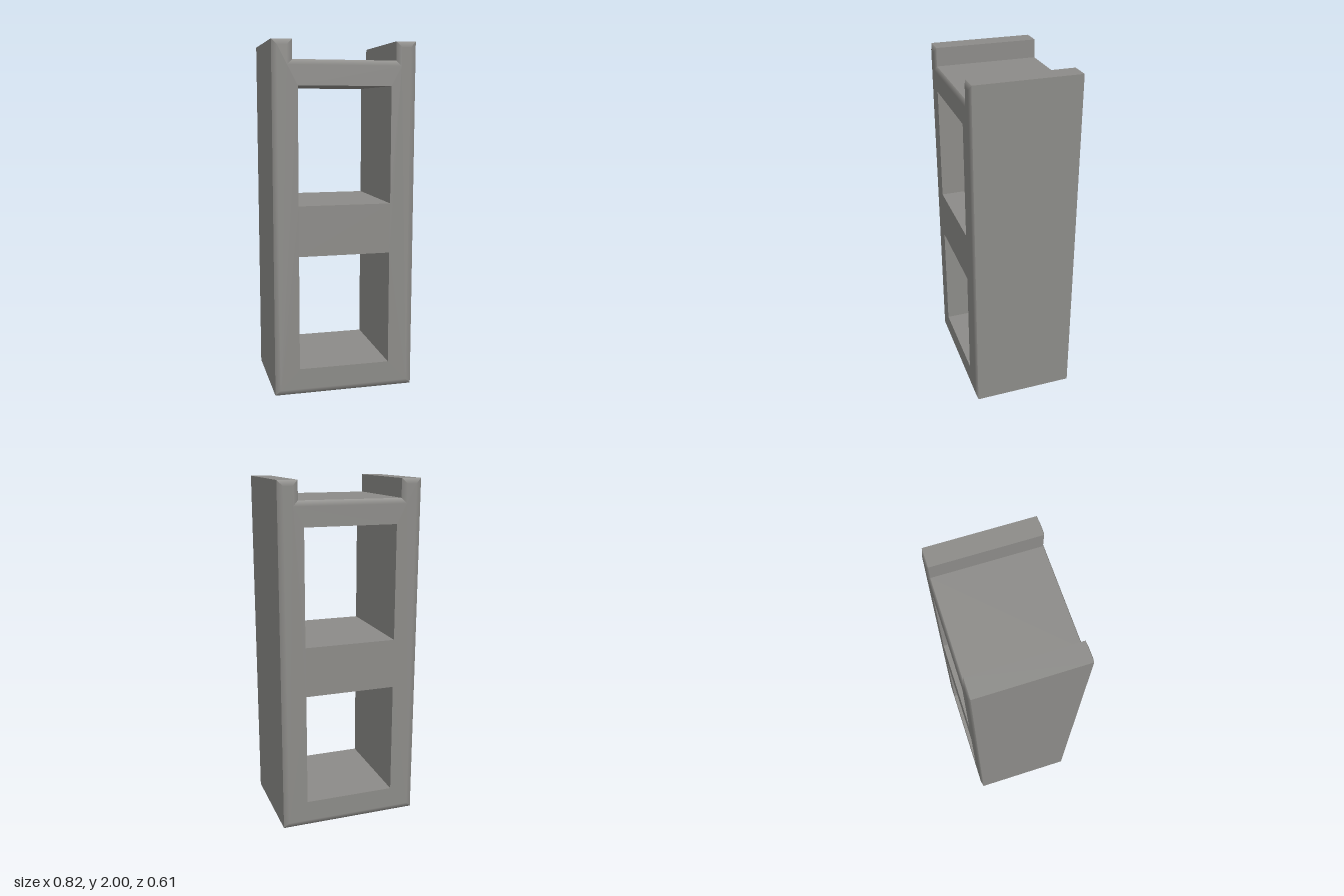
import * as THREE from 'three';

const HALF_DEPTH = 0.305; // flat front and back faces
const RIM_DEPTH = 0.295; // where the softened outer edge meets the walls
const RIM_WIDTH = 0.03;

// Counter-clockwise outline with two raised lugs at the top
const outline = [
  [-0.41, 0], [0.406, 0], [0.406, 2], [0.293, 2],
  [0.293, 1.895], [-0.296, 1.895], [-0.296, 2], [-0.41, 2],
];
const rectangle = (x0, y0, x1, y1) => [[x0, y0], [x1, y0], [x1, y1], [x0, y1]];
const openings = [rectangle(-0.268, 0.15, 0.262, 0.808), rectangle(-0.268, 1.095, 0.264, 1.755)];

// Outward normal of each edge of a loop
const edgeNormals = (loop) => loop.map(([x, y], i) => {
  const [nx, ny] = loop[(i + 1) % loop.length];
  return new THREE.Vector2(ny - y, x - nx).normalize();
});

// Move a loop inward by an even distance (all its edges are square to each other)
function inset(loop, d) {
  const n = edgeNormals(loop);
  return loop.map(([x, y], i) => {
    const p = n[(i + n.length - 1) % n.length];
    return [x - d * (p.x + n[i].x), y - d * (p.y + n[i].y)];
  });
}

// Quads between two loops; normalAt(edge, end) gives the shading normal at each end
function strip(loopA, zA, loopB, zB, normalAt, flip = false) {
  const pos = [], nor = [], idx = [];
  loopA.forEach((a, i) => {
    const j = (i + 1) % loopA.length, k = pos.length / 3;
    pos.push(...a, zA, ...loopA[j], zA, ...loopB[j], zB, ...loopB[i], zB);
    const na = normalAt(i, 0), nb = normalAt(i, 1);
    nor.push(...na, ...na, ...nb, ...nb);
    idx.push(...(flip ? [k, k + 2, k + 1, k, k + 3, k + 2] : [k, k + 1, k + 2, k, k + 2, k + 3]));
  });
  const g = new THREE.BufferGeometry();
  g.setAttribute('position', new THREE.Float32BufferAttribute(pos, 3));
  g.setAttribute('normal', new THREE.Float32BufferAttribute(nor, 3));
  g.setIndex(idx);
  return g;
}

export function createModel() {
  const group = new THREE.Group();
  group.name = 'hollowBlock';
  const concrete = new THREE.MeshStandardMaterial({ color: 0x8c8b88 });
  concrete.name = 'grey concrete';
  const add = (geometry, name) => {
    const mesh = new THREE.Mesh(geometry, concrete);
    mesh.name = name;
    group.add(mesh);
    return mesh;
  };

  // Outer walls, including the lugs
  const normals = edgeNormals(outline);
  add(strip(outline, -RIM_DEPTH, outline, RIM_DEPTH, (i) => [normals[i].x, normals[i].y, 0], true)
    , 'outerWalls').geometry.index.array.reverse();

  // Walls lining the two openings, facing inward
  openings.forEach((loop, h) => {
    const n = edgeNormals(loop);
    add(strip(loop, -HALF_DEPTH, loop, HALF_DEPTH, (i) => [-n[i].x, -n[i].y, 0], true),
      h ? 'upperOpening' : 'lowerOpening');
  });

  // Front and back faces, each with a softly shaded outer rim
  const inner = inset(outline, RIM_WIDTH);
  const toVectors = (loop) => loop.map(([x, y]) => new THREE.Vector2(x, y));
  const faceShape = new THREE.Shape(toVectors(inner));
  openings.forEach((loop) => faceShape.holes.push(new THREE.Path(toVectors(loop))));

  for (const side of [1, -1]) {
    const label = side > 0 ? 'front' : 'back';
    const rimNormal = (i, end) => (end ? [0, 0, side]
      : new THREE.Vector3(normals[i].x, normals[i].y, side).normalize().toArray());
    add(strip(outline, side * RIM_DEPTH, inner, side * HALF_DEPTH, rimNormal, side < 0), label + 'Rim');

    const face = new THREE.ShapeGeometry(faceShape);
    if (side < 0) {
      face.index.array.reverse();
      face.attributes.normal.array.forEach((v, i, a) => { a[i] = -v; });
    }
    face.translate(0, 0, side * HALF_DEPTH);
    add(face, label + 'Face');
  }
  return group;
}
